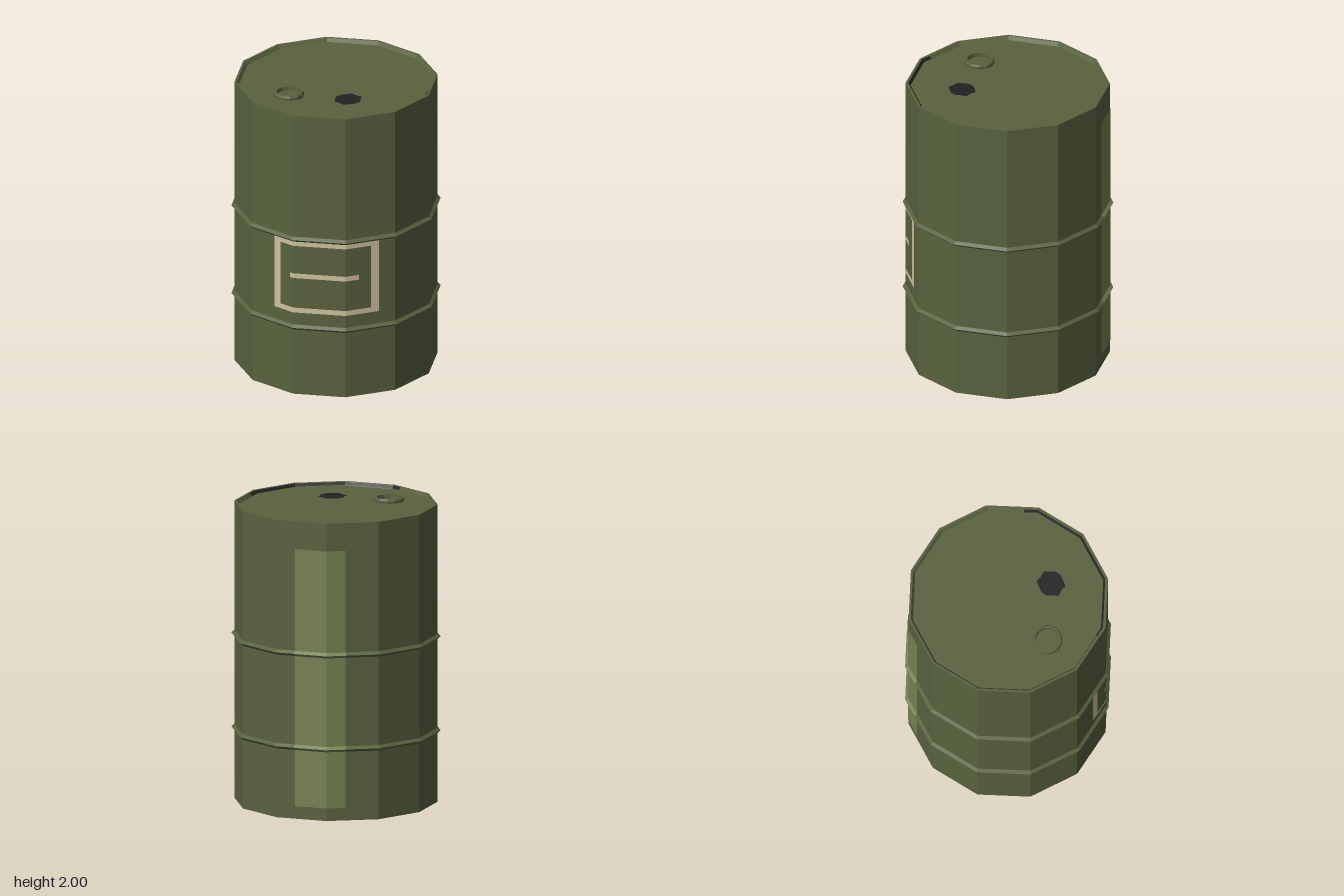
import * as THREE from 'three';

const SIDES = 12, STEP = 360 / SIDES, RAD = Math.PI / 180;

const mat = (name, color, side = THREE.FrontSide) => {
  const m = new THREE.MeshStandardMaterial({ color, side });
  m.name = name;
  return m;
};

// Sweeps a [radius, y] profile around the twelve-sided drum, from angle a0 to a1 (degrees, 0 = front)
function wrap(a0, a1, profile) {
  const angles = [a0];
  for (let a = (Math.floor(a0 / STEP) + 1) * STEP; a < a1; a += STEP) angles.push(a);
  angles.push(a1);
  const point = (a, [r, y]) => {
    const off = (((a % STEP) + STEP) % STEP) - STEP / 2;
    const d = r * Math.cos(STEP / 2 * RAD) / Math.cos(off * RAD);
    return [d * Math.sin(a * RAD), y, d * Math.cos(a * RAD)];
  };
  const pos = [];
  for (let i = 0; i < angles.length - 1; i++) {
    for (let j = 0; j < profile.length - 1; j++) {
      const [p, q] = [profile[j], profile[j + 1]];
      const A = point(angles[i], p), B = point(angles[i + 1], p);
      const C = point(angles[i + 1], q), D = point(angles[i], q);
      if (p[0] > 0) pos.push(...A, ...B, ...C);
      if (q[0] > 0) pos.push(...A, ...C, ...D);
    }
  }
  const g = new THREE.BufferGeometry();
  g.setAttribute('position', new THREE.Float32BufferAttribute(pos, 3));
  g.computeVertexNormals();
  return g;
}

export function createModel() {
  const group = new THREE.Group();
  const green = mat('olive green', 0x59623f);
  const light = mat('faded green', 0x768254);
  const cream = mat('cream paint', 0xcfc19f);
  const black = mat('dark grime', 0x222222);

  const add = (name, geometry, material) => {
    const mesh = new THREE.Mesh(geometry, material);
    mesh.name = name;
    group.add(mesh);
    return mesh;
  };

  // Outer wall profile with two pointed hoops, between two heights
  const R = 0.67, LID = 1.972, TOP = 1.996;
  const hoop = (y, o) => [[R + o, y - 0.018], [R + 0.02 + o, y], [R + o, y + 0.018]];
  const wall = (y0, y1, o = 0) =>
    [[R + o, y0], ...hoop(0.48, o), ...hoop(1.11, o), [R + o, y1]];

  // Drum with recessed base and lid
  add('drumBody', wrap(0, 360, [
    [0, 0.024], [0.64, 0.024], [0.655, 0],
    ...wall(0, TOP),
    [0.655, TOP], [0.64, LID], [0, LID],
  ]), green);

  // Faded strip down the back
  add('fadedStrip', wrap(221, 251, wall(0.085, 1.81, 0.003)), light);

  // Painted label frame and bar, folded around three faces
  const paint = (name, a0, a1, y0, y1) =>
    add(name, wrap(a0, a1, [[R + 0.003, y0], [R + 0.003, y1]]), cream);
  paint('labelTop', 16.3, 80.2, 1.063, 1.094);
  paint('labelBottom', 16.3, 80.2, 0.585, 0.62);
  paint('labelSideA', 16.3, 21, 0.62, 1.063);
  paint('labelSideB', 75.4, 80.2, 0.62, 1.063);
  paint('labelBar', 27.8, 67.9, 0.832, 0.866);

  // Grime along the inside of the rim
  add('rimGrime', wrap(24, 128, [[0.652, TOP - 0.002], [0.639, LID + 0.004]]), black);

  // Filler ring on the lid
  const ring = new THREE.LatheGeometry(
    [[0.1, LID], [0.1, 1.99], [0.093, 2], [0.08, 2], [0.078, LID]].map(p => new THREE.Vector2(...p)), 12
  ).toNonIndexed();
  ring.computeVertexNormals();
  add('fillerRing', ring, green).position.set(0, 0, 0.38);

  // Irregular stain on the lid
  const stain = new THREE.CircleGeometry(0.086, 14);
  const p = stain.attributes.position;
  for (let i = 1; i < p.count; i++) {
    const k = 1 + 0.09 * Math.sin(((i - 1) % 14) * 2.7);
    p.setXY(i, p.getX(i) * k, p.getY(i) * k * 1.06);
  }
  stain.rotateX(-Math.PI / 2);
  add('lidStain', stain, black).position.set(0.285, LID + 0.003, 0.105);

  return group;
}
